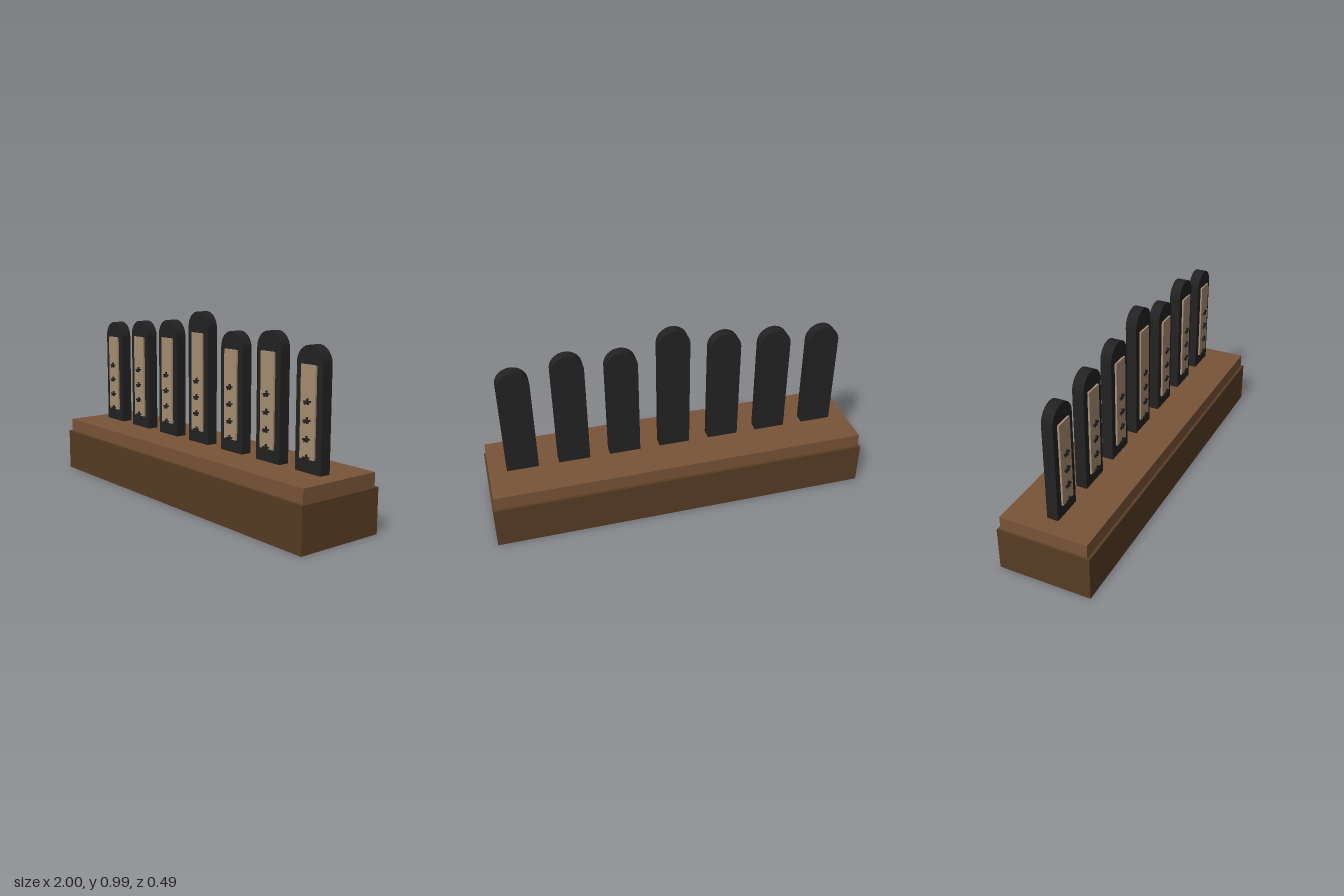
import * as THREE from 'three';

const material = (name, color) => {
  const m = new THREE.MeshStandardMaterial({ color });
  m.name = name;
  return m;
};

export function createModel() {
  const darkWood = material('dark wood', 0x573c24);
  const wood = material('wood', 0x785437);
  const lacquer = material('black lacquer', 0x222222);
  const paleWood = material('pale wood', 0xa68e70);

  const box = (parent, name, mat, size, pos, tilt = 0) => {
    const mesh = new THREE.Mesh(new THREE.BoxGeometry(...size), mat);
    mesh.name = name;
    mesh.position.set(...pos);
    mesh.rotation.z = tilt;
    parent.add(mesh);
    return mesh;
  };

  const model = new THREE.Group();
  model.name = 'tabletStand';

  // Stepped plinth
  box(model, 'plinth', darkWood, [2, 0.227, 0.49], [0, 0.1135, 0]);
  box(model, 'plinthTop', wood, [1.98, 0.071, 0.46], [0, 0.2625, 0]);

  // Upright slab with a round top
  const floor = 0.298, half = 0.0825, depth = 0.058;
  const slabGeometry = (top) => {
    const shape = new THREE.Shape();
    shape.moveTo(-half, floor);
    shape.lineTo(half, floor);
    shape.lineTo(half, top - half);
    shape.absarc(0, top - half, half, 0, Math.PI, false);
    shape.closePath();
    return new THREE.ExtrudeGeometry(shape, { depth, bevelEnabled: false, curveSegments: 12 })
      .translate(0, 0, -depth / 2);
  };

  // Abstract ornament of crossed strokes: [width, height, x, y, tilt]
  const strokes = [
    [0.042, 0.008, 0, 0, 0.08],
    [0.008, 0.03, 0.004, 0.001, 0.15],
    [0.022, 0.007, -0.007, -0.006, 0.65],
  ];
  const addOrnament = (parent, y) => {
    const ornament = new THREE.Group();
    ornament.name = 'ornament';
    ornament.position.set(0, y, 0.0435);
    strokes.forEach(([w, h, x, dy, tilt], i) =>
      box(ornament, 'stroke', lacquer, [w, h, 0.008 - i * 0.0006], [x, dy, 0], tilt));
    parent.add(ornament);
  };

  // Row of seven tablets: [slab top, panel top]
  const tablets = [
    [0.885, 0.797], [0.908, 0.818], [0.93, 0.833], [0.99, 0.88],
    [0.908, 0.818], [0.93, 0.833], [0.885, 0.797],
  ];
  const panelBottom = 0.364;
  tablets.forEach(([top, panelTop], i) => {
    const tablet = new THREE.Group();
    tablet.name = 'tablet';
    tablet.position.x = (i - 3) * 0.2713;
    const slab = new THREE.Mesh(slabGeometry(top), lacquer);
    slab.name = 'slab';
    tablet.add(slab);
    box(tablet, 'panel', paleWood, [0.093, panelTop - panelBottom, 0.0098],
      [0, (panelTop + panelBottom) / 2, 0.0339]);
    for (let k = 0; k < 4; k++) addOrnament(tablet, 0.63 - k * 0.0863);
    model.add(tablet);
  });

  return model;
}
